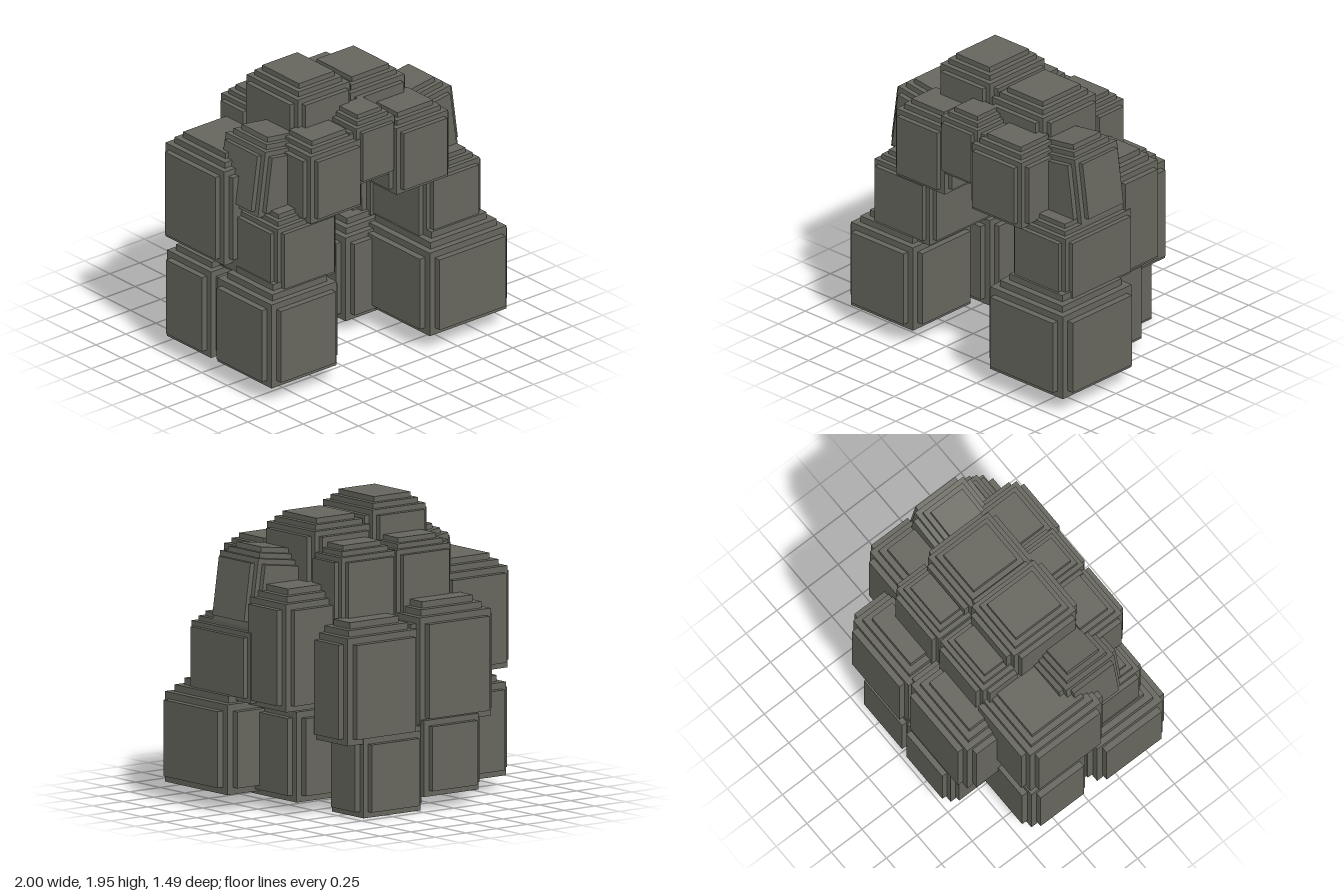
import * as THREE from 'three';

const stone = new THREE.MeshStandardMaterial({ color: 0x66665e });
stone.name = 'dark stone';

// One boulder: nested boxes giving stepped corners, a stepped top and a stepped base.
function boulder(name, [x0, x1], [y0, y1], [z0, z1], s, tilt = 0) {
  const group = new THREE.Group();
  group.name = name;
  const cx = (x0 + x1) / 2, cy = (y0 + y1) / 2, cz = (z0 + z1) / 2;
  // inset in x, inset in z, rise of the base, drop of the top (in steps)
  const layers = [[0, 2, 1, 3], [2, 0, 1, 3], [1, 1, 0, 2], [2, 2, 0.5, 1], [3, 3, 0.5, 0]];
  for (const [ix, iz, base, top] of layers) {
    const low = y0 + base * s, high = y1 - top * s;
    const mesh = new THREE.Mesh(
      new THREE.BoxGeometry(x1 - x0 - 2 * ix * s, high - low, z1 - z0 - 2 * iz * s), stone);
    mesh.name = name + 'Step';
    mesh.position.y = (low + high) / 2 - cy;
    group.add(mesh);
  }
  group.position.set(cx, cy, cz);
  group.rotation.z = tilt;
  return group;
}

export function createModel() {
  const cave = new THREE.Group();
  cave.name = 'rockCave';
  const boulders = [
    // lowest course: two wings and the back
    ['leftFrontFoot', [0.27, 1.0], [0.105, 0.78], [0.01, 0.74], 0.045],
    ['rightFrontFoot', [-1.0, -0.37], [0.105, 0.78], [0.06, 0.68], 0.043],
    ['leftMiddleFoot', [0.04, 0.73], [0.08, 0.75], [-0.36, 0.18], 0.042],
    ['rightMiddleFoot', [-0.98, -0.28], [0.09, 0.78], [-0.46, 0.06], 0.042],
    ['leftBackFoot', [-0.07, 0.47], [0, 0.59], [-0.72, -0.32], 0.038],
    ['rightBackFoot', [-0.52, 0.0], [0.09, 0.66], [-0.75, -0.33], 0.038],
    // middle course
    ['leftFrontWall', [0.37, 0.88], [0.7, 1.22], [-0.08, 0.59], 0.032],
    ['rightFrontWall', [-0.865, -0.32], [0.7, 1.22], [-0.05, 0.58], 0.032],
    ['leftMiddleWall', [0.27, 0.84], [0.68, 1.46], [-0.39, 0.07], 0.04],
    ['rightMiddleWall', [-0.98, -0.38], [0.79, 1.53], [-0.47, 0.19], 0.04],
    ['leftBackWall', [-0.05, 0.6], [0.48, 1.26], [-0.72, -0.3], 0.042],
    ['rightBackWall', [-0.65, 0.01], [0.55, 1.33], [-0.72, -0.3], 0.042],
    // leaning shoulders
    ['leftShoulder', [0.32, 0.82], [1.15, 1.665], [-0.05, 0.41], 0.034, 0.14],
    ['rightShoulder', [-0.85, -0.35], [1.15, 1.665], [-0.05, 0.41], 0.034, -0.14],
    // arch over the entrance
    ['leftArch', [0.06, 0.56], [1.145, 1.68], [0.2, 0.66], 0.034],
    ['middleArch', [-0.24, 0.14], [1.29, 1.75], [0.25, 0.62], 0.03],
    ['rightArch', [-0.63, -0.14], [1.14, 1.68], [0.2, 0.63], 0.034],
    // roof
    ['leftRoof', [-0.06, 0.46], [1.32, 1.855], [-0.21, 0.35], 0.035],
    ['rightRoof', [-0.505, 0.0], [1.36, 1.945], [-0.22, 0.355], 0.035],
    ['leftBackRoof', [-0.05, 0.45], [1.1, 1.715], [-0.47, -0.12], 0.032],
    ['rightBackRoof', [-0.5, 0.0], [1.1, 1.715], [-0.47, -0.12], 0.032],
  ];
  for (const b of boulders) cave.add(boulder(...b));
  return cave;
}
